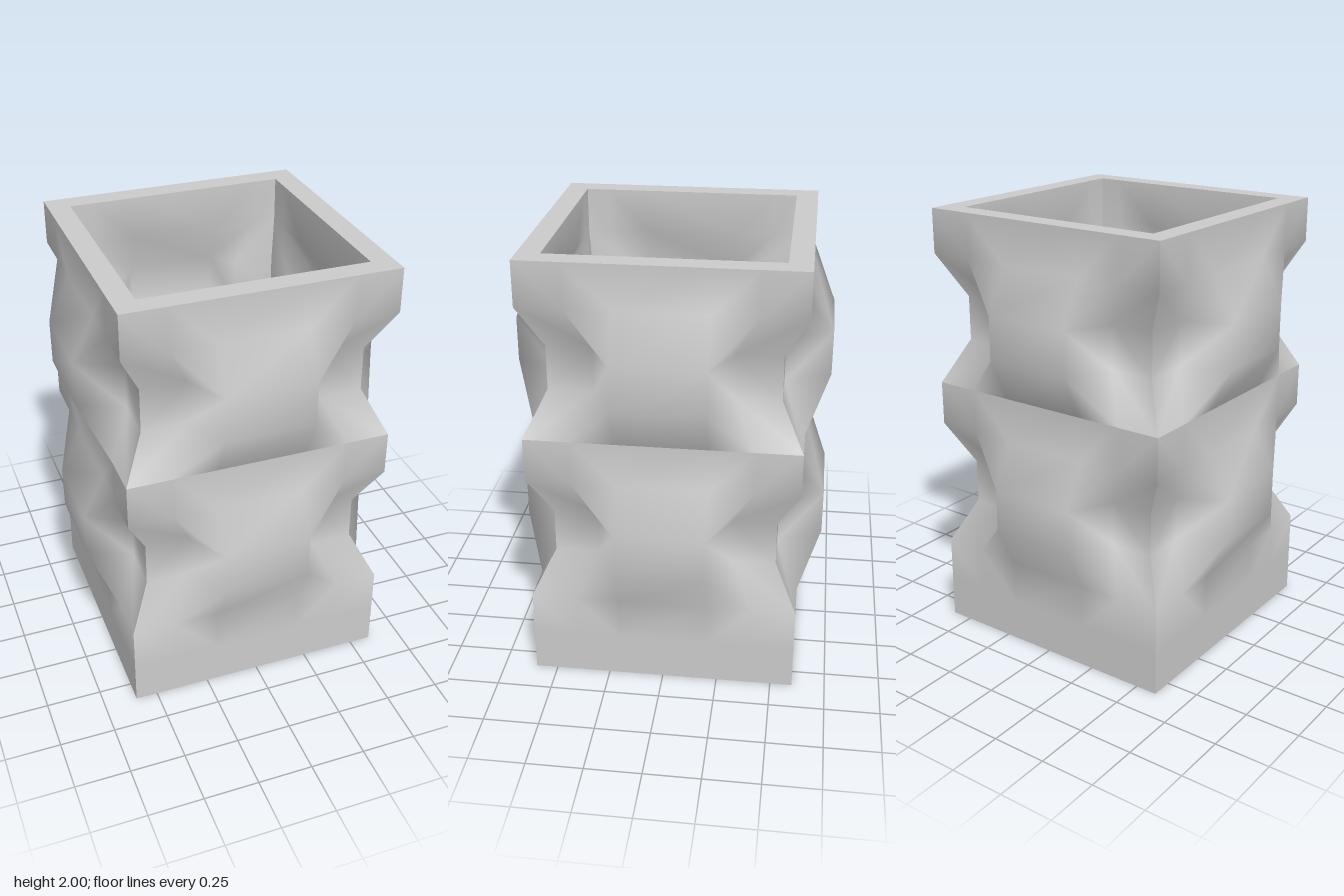
import * as THREE from 'three';

// Horizontal profiles of one wall: [across, outward] from right to left.
const mirror = (half) => [...half.map(([u, z]) => [-u, z]), ...half.slice().reverse()];
const OUTER = {
  flat: mirror([[0.6, 0.6], [0.4, 0.6], [0.2, 0.6]]),
  carved: mirror([[0.5, 0.5], [0.3, 0.5], [0.2, 0.7]]),
};
const INNER = {
  flat: mirror([[0.5, 0.5], [0.4, 0.5], [0.2, 0.5]]),
  carved: mirror([[0.485, 0.485], [0.29, 0.485], [0.2, 0.6]]),
};

// Lofts a wall through rows of [height, profile kind].
function wallGeometry(profiles, rows, inward) {
  const positions = [];
  const index = [];
  for (const [y, kind] of rows) {
    for (const [u, z] of profiles[kind]) positions.push(u, y, z);
  }
  const n = profiles.flat.length;
  const tri = (a, b, c) => (inward ? index.push(a, c, b) : index.push(a, b, c));
  for (let r = 0; r < rows.length - 1; r++) {
    const opening = rows[r + 1][1] === 'carved';
    for (let c = 0; c < n - 1; c++) {
      const a = r * n + c, b = a + 1, d = a + n, e = d + 1;
      // Diagonals run as mitres from the bulge corners outwards.
      const rising = c < n / 2 - 1 ? opening : c > n / 2 - 1 ? !opening : true;
      if (rising) {
        tri(a, b, e);
        tri(a, e, d);
      } else {
        tri(a, b, d);
        tri(b, e, d);
      }
    }
  }
  const geometry = new THREE.BufferGeometry();
  geometry.setAttribute('position', new THREE.Float32BufferAttribute(positions, 3));
  geometry.setIndex(index);
  geometry.computeVertexNormals();
  return geometry;
}

// One tier: a flat band, the carved band, and a flat band above.
const tier = (y) => [
  [y, 'flat'], [y + 0.2, 'carved'], [y + 0.4, 'carved'], [y + 0.6, 'flat'], [y + 0.8, 'flat'],
];

export function createModel() {
  const model = new THREE.Group();
  const material = new THREE.MeshStandardMaterial({ color: 0xcccccc });
  const add = (name, geometry) => {
    const mesh = new THREE.Mesh(geometry, material);
    mesh.name = name;
    model.add(mesh);
    return mesh;
  };

  // Four identical walls in two tiers, outside and inside
  const floorY = 0.1;
  const parts = [
    ['lowerOuterWall', wallGeometry(OUTER, [[0, 'flat'], [0.2, 'flat'], ...tier(0.4)], false)],
    ['upperOuterWall', wallGeometry(OUTER, tier(1.2), false)],
    ['lowerInnerWall', wallGeometry(INNER, [[floorY, 'flat'], ...tier(0.4)], true)],
    ['upperInnerWall', wallGeometry(INNER, tier(1.2), true)],
  ];
  for (let side = 0; side < 4; side++) {
    for (const [name, geometry] of parts) {
      add(name, geometry).rotation.y = (side * Math.PI) / 2;
    }
  }

  // Square rim around the opening
  const square = (h) => [[-h, -h], [h, -h], [h, h], [-h, h]].map(([x, y]) => new THREE.Vector2(x, y));
  const rimShape = new THREE.Shape(square(0.6));
  rimShape.holes.push(new THREE.Path(square(0.5)));
  add('rim', new THREE.ShapeGeometry(rimShape).rotateX(-Math.PI / 2)).position.y = 2;

  // Inside floor and underside
  add('floor', new THREE.PlaneGeometry(1, 1).rotateX(-Math.PI / 2)).position.y = floorY;
  add('underside', new THREE.PlaneGeometry(1.2, 1.2).rotateX(Math.PI / 2));

  return model;
}
